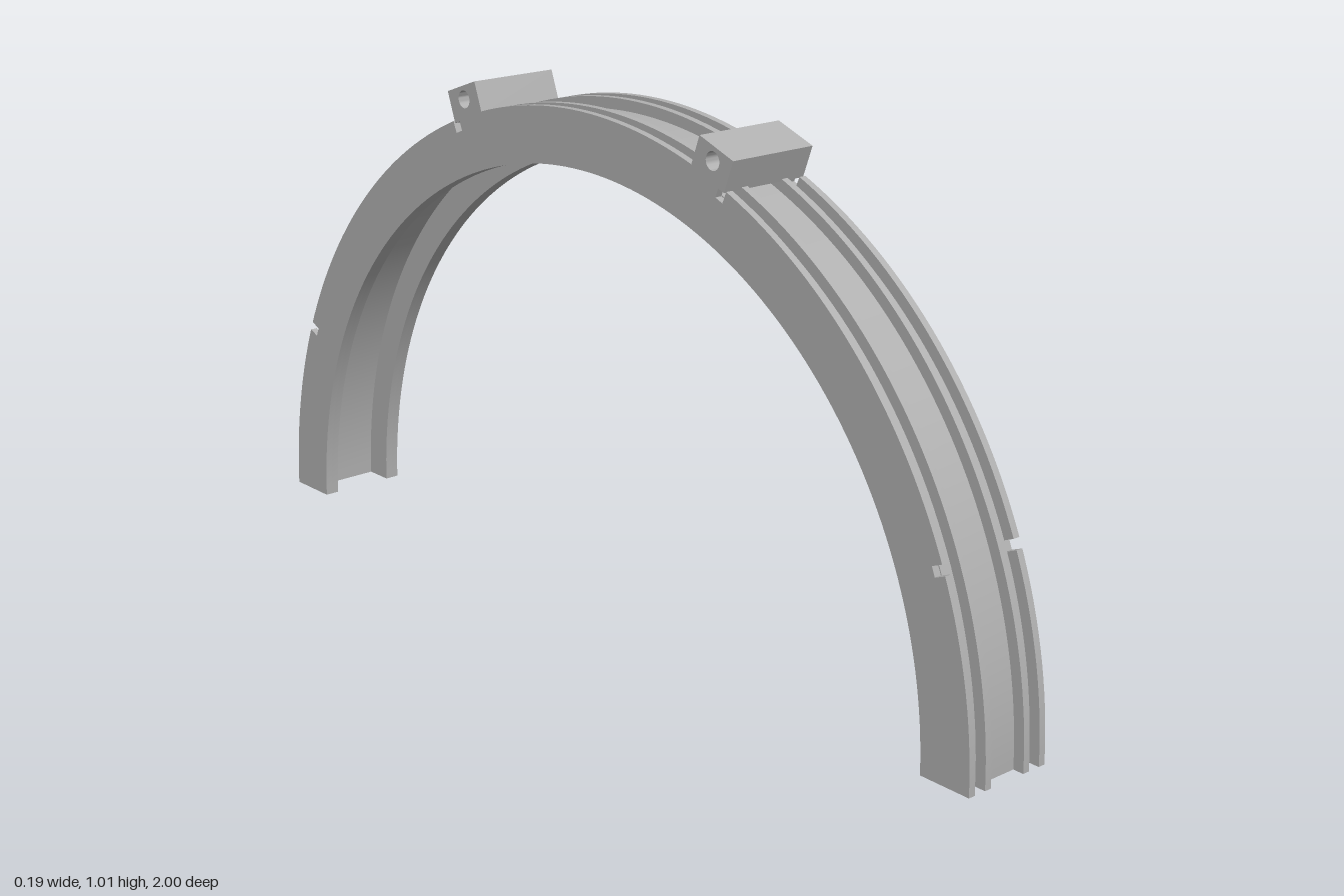
import * as THREE from 'three';
import { toCreasedNormals } from 'three/addons/utils/BufferGeometryUtils.js';

const SEGMENTS = 120;
const deg = Math.PI / 180;

export function createModel() {
  const model = new THREE.Group();
  model.name = 'archRail';
  const grey = new THREE.MeshStandardMaterial({ color: 0xb0b0b0 });
  grey.name = 'grey';

  // Extrude a side profile along x, from x0 to x1
  function addSlab(name, shape, x0, x1) {
    const geo = new THREE.ExtrudeGeometry(shape, { depth: x1 - x0, bevelEnabled: false, curveSegments: 16 });
    geo.rotateY(Math.PI / 2).translate(x0, 0, 0);
    const mesh = new THREE.Mesh(toCreasedNormals(geo, 0.4), grey);
    mesh.name = name;
    model.add(mesh);
  }

  // Half ring, optionally with slots in its rim and a window under its crown
  function halfRing(inner, outer, slots = [], window = false) {
    const pts = [];
    const polar = (r, a) => pts.push(new THREE.Vector2(r * Math.cos(a), r * Math.sin(a)));
    const halfSlot = 0.01;
    const angles = Array.from({ length: SEGMENTS + 1 }, (_, i) => (i / SEGMENTS) * Math.PI);
    let from = 0;
    for (const s of [...slots, null]) {
      const to = s === null ? Math.PI + 1 : s - halfSlot;
      angles.filter((a) => a >= from && a < to).forEach((a) => polar(outer, a));
      if (s === null) break;
      polar(outer, s - halfSlot);
      polar(outer - 0.024, s - halfSlot);
      polar(outer - 0.024, s + halfSlot);
      polar(outer, s + halfSlot);
      from = s + halfSlot + 0.001;
    }
    const w = 0.06;
    const gap = window ? Math.asin(w / inner) : -1;
    const mid = Math.PI / 2;
    angles.reverse();
    angles.filter((a) => a > mid + gap).forEach((a) => polar(inner, a));
    if (window) {
      polar(inner, mid + gap);
      pts.push(new THREE.Vector2(-w, 0.95), new THREE.Vector2(w, 0.95));
      polar(inner, mid - gap);
    }
    angles.filter((a) => a < mid - gap || (!window && a <= mid + gap)).forEach((a) => polar(inner, a));
    if (!window) {
      // Without a window the inner arc is one unbroken run
      pts.splice(pts.length - angles.length);
      while (pts.length && pts[pts.length - 1].length() < (inner + outer - 0.024) / 2) pts.pop();
      angles.forEach((a) => polar(inner, a));
    }
    return new THREE.Shape(pts);
  }

  const slots = [22.5, 67.5, 112.5, 157.5].map((a) => a * deg);
  for (const side of [-1, 1]) {
    const label = side > 0 ? 'left' : 'right';
    const slab = (name, shape, a, b) =>
      addSlab(label + name, shape, side > 0 ? a : -b, side > 0 ? b : -a);
    // Cheek with its slotted rim, wall lining and inner guide fin
    slab('Cheek', halfRing(0.89, 1, slots, side > 0), 0.081, 0.0955);
    slab('WallLining', halfRing(0.89, 0.978, [], side > 0), 0.0655, 0.081);
    slab('GuideFin', halfRing(0.97, 1), 0.041, 0.0555);
  }

  // Thin plate that forms the channel roof
  addSlab('channelRoof', halfRing(0.95, 0.978), -0.0655, 0.0655);

  // Hinge lugs laid across the rails
  for (const side of [-1, 1]) {
    const a = side * 20.2 * deg;
    const place = (t, h) => new THREE.Vector2(
      t * Math.cos(a) + h * Math.sin(a), h * Math.cos(a) - t * Math.sin(a));
    const lug = new THREE.Shape([place(-0.046, 0.994), place(0.046, 0.994), place(0.046, 1.058), place(-0.046, 1.058)]);
    const c = place(0, 1.032);
    lug.holes.push(new THREE.Path().absarc(c.x, c.y, 0.0175, 0, Math.PI * 2, true));
    addSlab(side > 0 ? 'backLug' : 'frontLug', lug, -0.0955, 0.0955);
  }
  return model;
}
